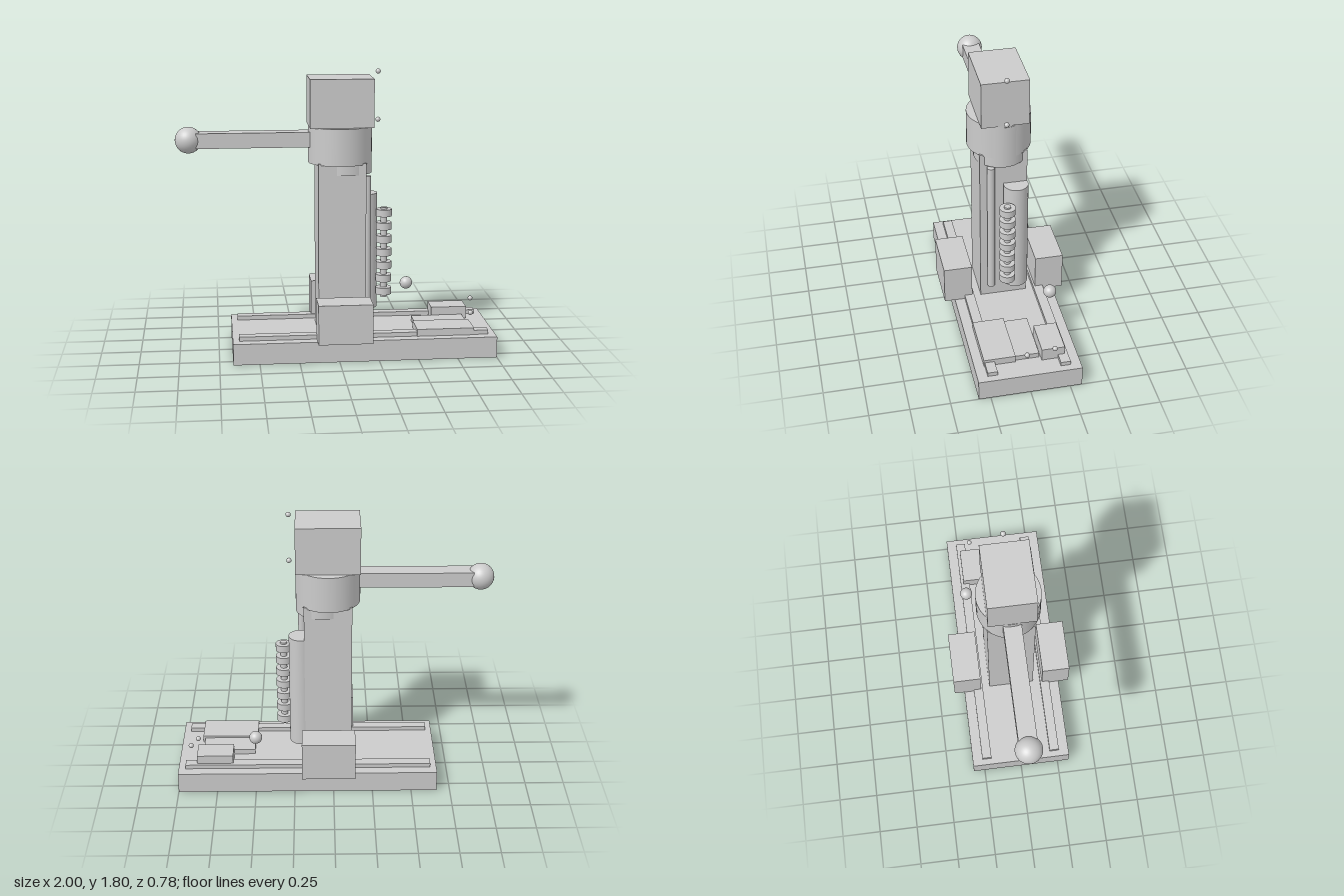
import * as THREE from 'three';

export function createModel() {
  const model = new THREE.Group();
  const material = new THREE.MeshStandardMaterial({ color: 0xcccccc });

  function add(name, geometry, x, y, z) {
    const mesh = new THREE.Mesh(geometry, material);
    mesh.name = name;
    mesh.position.set(x, y, z);
    model.add(mesh);
  }
  // Box given by its extents on each axis
  function box(name, x0, x1, y0, y1, z0, z1) {
    add(name, new THREE.BoxGeometry(x1 - x0, y1 - y0, z1 - z0),
      (x0 + x1) / 2, (y0 + y1) / 2, (z0 + z1) / 2);
  }
  // Upright cylinder between two heights
  function cylinder(name, r, x, z, y0, y1) {
    add(name, new THREE.CylinderGeometry(r, r, y1 - y0, 48), x, (y0 + y1) / 2, z);
  }
  function ball(name, r, x, y, z) {
    add(name, new THREE.SphereGeometry(r, 32, 20), x, y, z);
  }

  // Base with a rail and a clamp block on each side
  box('base', -0.665, 1, 0, 0.135, -0.325, 0.325);
  for (const [side, s] of [['front', 1], ['back', -1]]) {
    const span = (a, b) => (s > 0 ? [a, b] : [-b, -a]);
    box(side + 'Rail', -0.625, 0.955, 0.135, 0.162, ...span(0.198, 0.26));
    box(side + 'Block', -0.138, 0.202, 0.135, 0.387, ...span(0.21, 0.392));
  }

  // Column, collar and head
  box('column', -0.117, 0.183, 0.135, 1.23, -0.15, 0.15);
  cylinder('collar', 0.2, 0.03, 0, 1.22, 1.452);
  cylinder('lowerCollar', 0.165, 0.068, 0, 1.155, 1.44);
  box('head', -0.167, 0.232, 1.452, 1.755, -0.148, 0.148);

  // Lever arm with ball knob
  box('leverArm', -0.87, 0, 1.322, 1.417, -0.056, 0.056);
  ball('leverKnob', 0.083, -0.918, 1.37, 0);

  // Upright rods beside the column
  cylinder('thinRod', 0.024, 0.197, 0.082, 0.22, 1.14);
  cylinder('thickRod', 0.078, 0.202, -0.075, 0.248, 1.003);

  // Ribbed spindle
  cylinder('spindleCore', 0.021, 0.315, 0.002, 0.33, 0.92);
  for (let i = 0; i < 7; i++) {
    const y = 0.372 + i * 0.0857;
    cylinder('spindleDisc' + (i + 1), 0.05, 0.315, 0.002, y - 0.023, y + 0.023);
  }

  // Plates on the base
  box('middlePlate', 0.512, 0.848, 0.135, 0.167, -0.085, 0.07);
  box('frontPlate', 0.498, 0.862, 0.135, 0.18, 0.066, 0.265);
  box('backPlate', 0.648, 0.88, 0.135, 0.217, -0.24, -0.095);

  // Loose balls
  ball('largeBall', 0.041, 0.498, 0.353, -0.234);
  const smallBalls = [[0.272, 1.788, 0], [0.272, 1.485, 0], [0.921, 0.253, -0.167], [0.89, 0.202, 0]];
  smallBalls.forEach((p, i) => ball('smallBall' + (i + 1), 0.016, ...p));

  return model;
}
